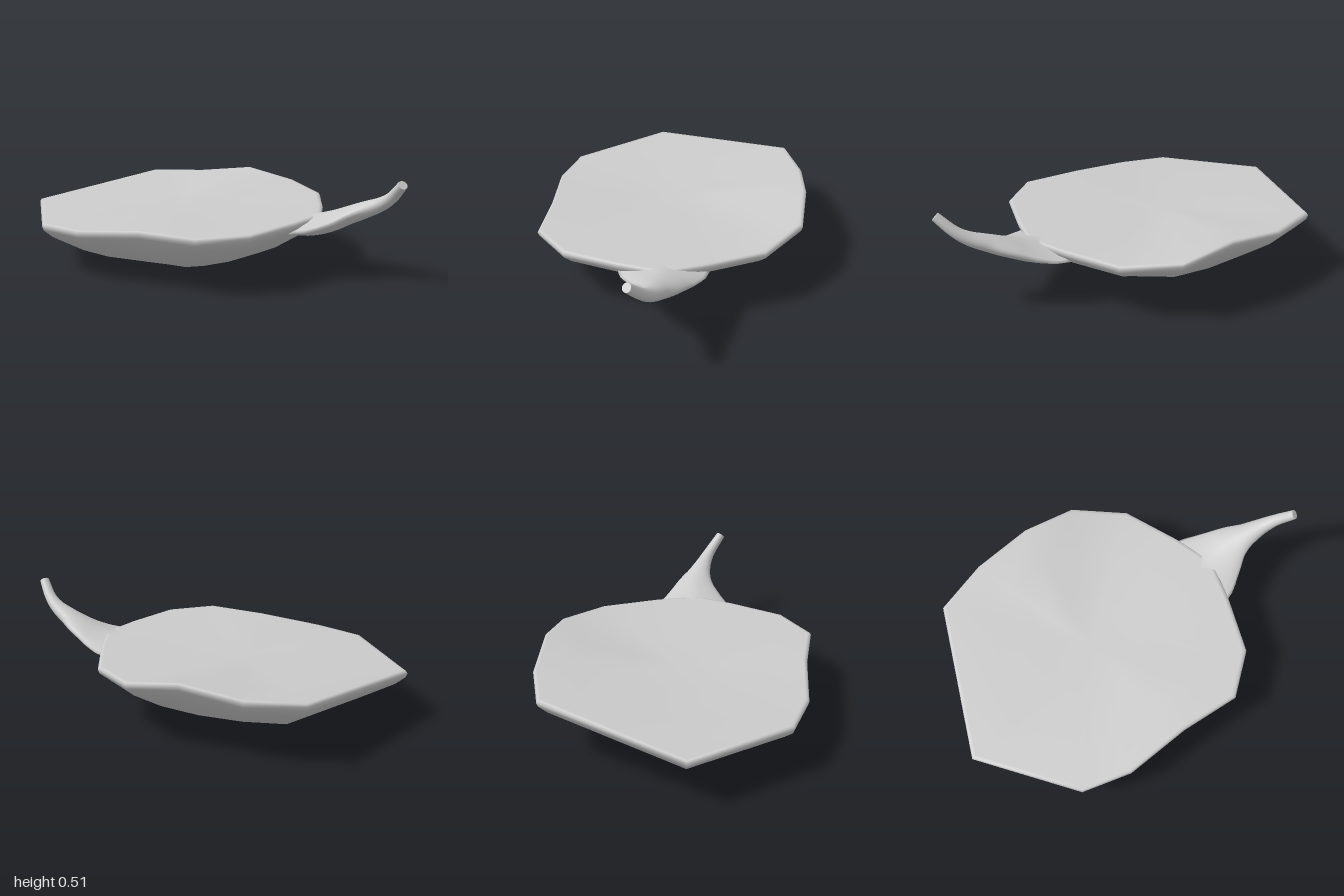
import * as THREE from 'three';

const material = new THREE.MeshStandardMaterial({ color: 0xcccccc, side: THREE.DoubleSide });

// Closed skin over equal-length rings of points, with a centre point at each end
function loft(rings, first, last) {
  const n = rings[0].length;
  const points = [...rings.flat(), first, last];
  const index = [];
  const end = rings.length * n;
  for (let i = 0; i < n; i++) {
    const j = (i + 1) % n;
    index.push(end, j, i);
    for (let r = 0; r < rings.length - 1; r++) {
      const a = r * n + i, b = r * n + j;
      index.push(a, b, b + n, a, b + n, a + n);
    }
    const base = (rings.length - 1) * n;
    index.push(base + i, base + j, end + 1);
  }
  const g = new THREE.BufferGeometry();
  g.setAttribute('position', new THREE.Float32BufferAttribute(points.flatMap(p => [p.x, p.y, p.z]), 3));
  g.setIndex(index);
  g.computeVertexNormals();
  return g;
}

// Uneven outline of the bowl's rim
const rim = [
  [-1, 0.25, 0.1], [-0.68, 0.24, 0.555], [-0.44, 0.245, 0.63], [-0.11, 0.275, 0.63],
  [0.19, 0.277, 0.66], [0.39, 0.28, 0.51], [0.5, 0.288, 0.24], [0.55, 0.292, 0.08],
  [0.55, 0.293, 0], [0.5, 0.295, -0.17], [0.39, 0.297, -0.45], [0.17, 0.32, -0.635],
  [-0.1, 0.365, -0.67], [-0.4, 0.326, -0.67], [-0.67, 0.32, -0.6],
].map(p => new THREE.Vector3(...p));

function bowlGeometry() {
  const centre = new THREE.Vector3(-0.2, 0, 0.01);
  // Rim scaled towards the centre, with its height given by a rule
  const ring = (s, height) => rim.map(p => {
    const q = p.clone().sub(centre).multiplyScalar(s).add(centre);
    q.y = height(p);
    return q;
  });
  const raise = p => 0.05 * Math.max(0, -p.z / 0.67) + 0.03 * Math.max(0, p.x / 0.55);
  const rings = [
    ring(0.36, p => 0.013 + 0.1 * raise(p)),
    ring(0.72, p => 0.085 + raise(p)),
    ring(0.93, p => THREE.MathUtils.lerp(0.085 + raise(p), p.y - 0.04, 0.72)),
    ring(0.99, p => p.y - 0.035),
    ring(1, p => p.y - 0.014),
    ring(0.99, p => p.y - 0.002),
    ring(0.97, p => p.y - 0.001),
    ring(0.7, p => THREE.MathUtils.lerp(0.266, p.y, 0.65)),
    ring(0.35, p => THREE.MathUtils.lerp(0.266, p.y, 0.25)),
  ];
  return loft(rings, new THREE.Vector3(-0.2, 0, 0), new THREE.Vector3(-0.2, 0.266, 0.01));
}

// Tapering stalk: x, y, z, half height, half width at each station
function stalkGeometry() {
  const stations = [
    [0.47, 0.238, 0.03, 0.05, 0.215], [0.54, 0.245, 0.03, 0.052, 0.195],
    [0.62, 0.268, 0.027, 0.05, 0.15], [0.7, 0.304, 0.028, 0.044, 0.102],
    [0.78, 0.34, 0.047, 0.04, 0.062], [0.86, 0.378, 0.072, 0.033, 0.04],
    [0.915, 0.418, 0.1, 0.027, 0.03], [0.978, 0.492, 0.156, 0.022, 0.024],
  ];
  const path = new THREE.CatmullRomCurve3(stations.map(s => new THREE.Vector3(s[0], s[1], s[2])));
  const sizes = new THREE.CatmullRomCurve3(stations.map(s => new THREE.Vector3(s[3], s[4], 0)));
  const rings = [], steps = 28, sides = 20;
  for (let k = 0; k <= steps; k++) {
    const t = k / steps;
    const c = path.getPoint(t), size = sizes.getPoint(t);
    // The flared base stays square to the bowl, the tip follows the path
    const dir = new THREE.Vector3(1, 0, 0).lerp(path.getTangent(t), Math.min(1, t * 1.4)).normalize();
    const side = new THREE.Vector3().crossVectors(dir, new THREE.Vector3(0, 1, 0)).normalize();
    const up = new THREE.Vector3().crossVectors(side, dir);
    // Pointed, diamond-like section at the base becoming round
    const power = THREE.MathUtils.lerp(1.6, 1, Math.min(1, t * 1.6));
    const bend = v => Math.sign(v) * Math.abs(v) ** power;
    const ring = [];
    for (let i = 0; i < sides; i++) {
      const a = (i / sides) * Math.PI * 2;
      ring.push(c.clone()
        .addScaledVector(side, bend(Math.cos(a)) * size.y)
        .addScaledVector(up, -bend(Math.sin(a)) * size.x));
    }
    rings.push(ring.reverse());
  }
  // Repeat the last ring slightly smaller for a crisp flat tip
  const tip = path.getPoint(1);
  rings.push(rings[steps].map(p => p.clone().lerp(tip, 0.04)));
  return loft(rings, path.getPoint(0), tip);
}

export function createModel() {
  const model = new THREE.Group();
  const add = (name, geometry) => {
    const mesh = new THREE.Mesh(geometry, material);
    mesh.name = name;
    model.add(mesh);
  };
  add('bowl', bowlGeometry());
  add('stalk', stalkGeometry());
  return model;
}
